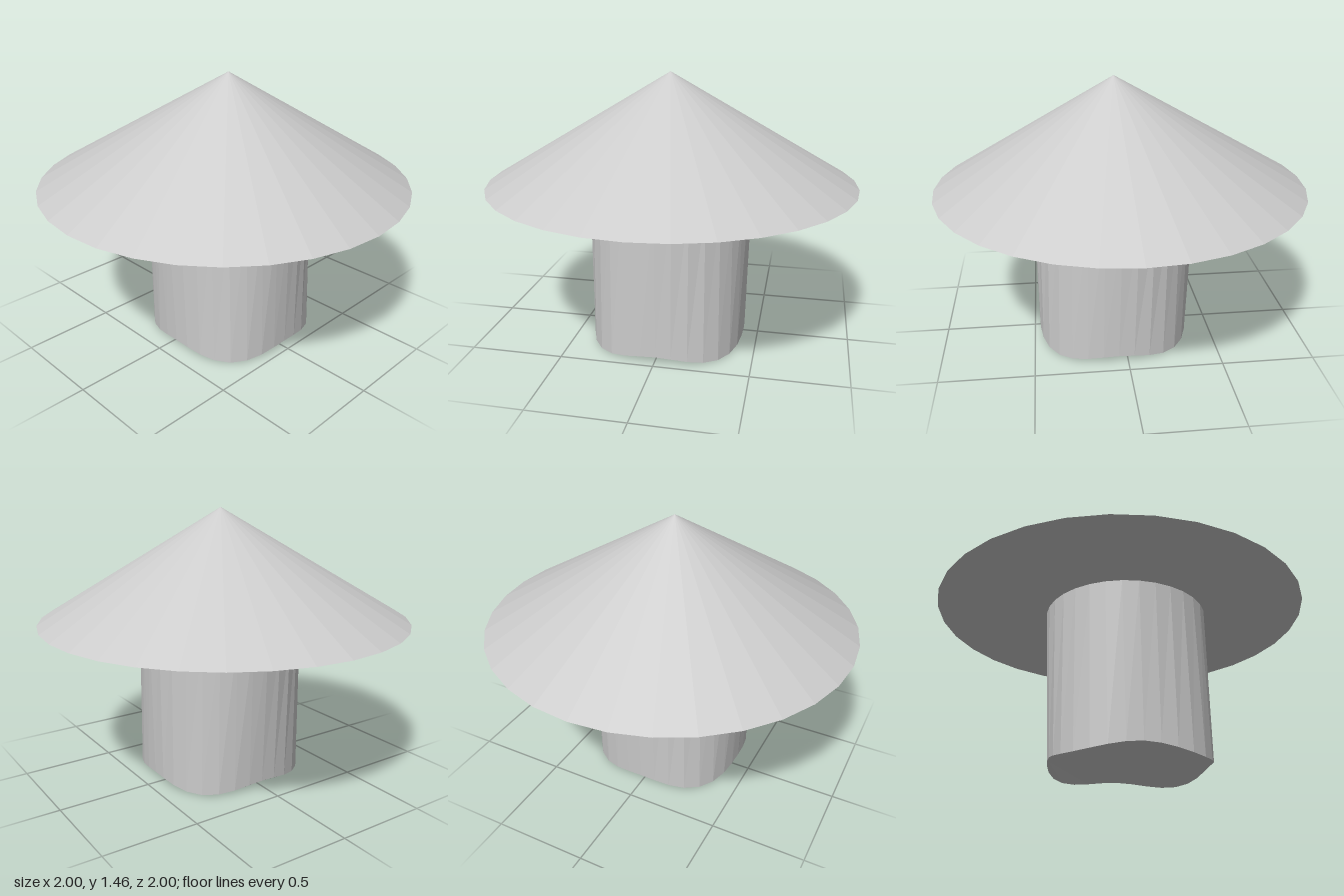
import * as THREE from 'three';

const SIDES = 32;
const RIM_Y = 0.867, PEAK_Y = 1.462;

const material = new THREE.MeshStandardMaterial({ color: 0xcccccc, flatShading: true });

function addMesh(parent, name, geometry) {
  const mesh = new THREE.Mesh(geometry, material);
  mesh.name = name;
  parent.add(mesh);
}

// Point on the stem's lower edge: a slightly squared ring with four low corners
function footPoint(angle) {
  const corner = Math.sin(2 * angle) ** 2;
  const r = 0.42 + 0.03 * corner;
  return [0.05 + r * Math.cos(angle), 0.036 * (1 - corner), -0.005 + r * Math.sin(angle)];
}

// Wide cone whose peak sits a little off centre
function capGeometry() {
  const height = PEAK_Y - RIM_Y;
  const geometry = new THREE.ConeGeometry(1, height, SIDES);
  geometry.translate(0, RIM_Y + height / 2, 0);
  const p = geometry.attributes.position;
  for (let i = 0; i < p.count; i++) {
    if (p.getY(i) > RIM_Y + 0.1) p.setX(i, p.getX(i) + 0.033);
  }
  geometry.computeVertexNormals();
  return geometry;
}

// Tapering wall from a round top to the wavy lower edge
function stemGeometry() {
  const geometry = new THREE.CylinderGeometry(1, 1, 1, SIDES, 1, true);
  const p = geometry.attributes.position;
  for (let i = 0; i < p.count; i++) {
    const angle = Math.atan2(p.getZ(i), p.getX(i));
    if (p.getY(i) > 0) {
      p.setXYZ(i, 0.033 + 0.442 * Math.cos(angle), RIM_Y, -0.005 + 0.442 * Math.sin(angle));
    } else {
      p.setXYZ(i, ...footPoint(angle));
    }
  }
  geometry.computeVertexNormals();
  return geometry;
}

// Underside, fanned out from the stem's -x edge
function undersideGeometry() {
  const positions = [], index = [];
  for (let i = 0; i < SIDES; i++) {
    positions.push(...footPoint(Math.PI + (i / SIDES) * Math.PI * 2));
    if (i > 1) index.push(0, i - 1, i);
  }
  const geometry = new THREE.BufferGeometry();
  geometry.setAttribute('position', new THREE.Float32BufferAttribute(positions, 3));
  geometry.setIndex(index);
  geometry.computeVertexNormals();
  return geometry;
}

export function createModel() {
  const model = new THREE.Group();
  model.name = 'mushroom';
  addMesh(model, 'cap', capGeometry());
  addMesh(model, 'stem', stemGeometry());
  addMesh(model, 'stemUnderside', undersideGeometry());
  return model;
}
